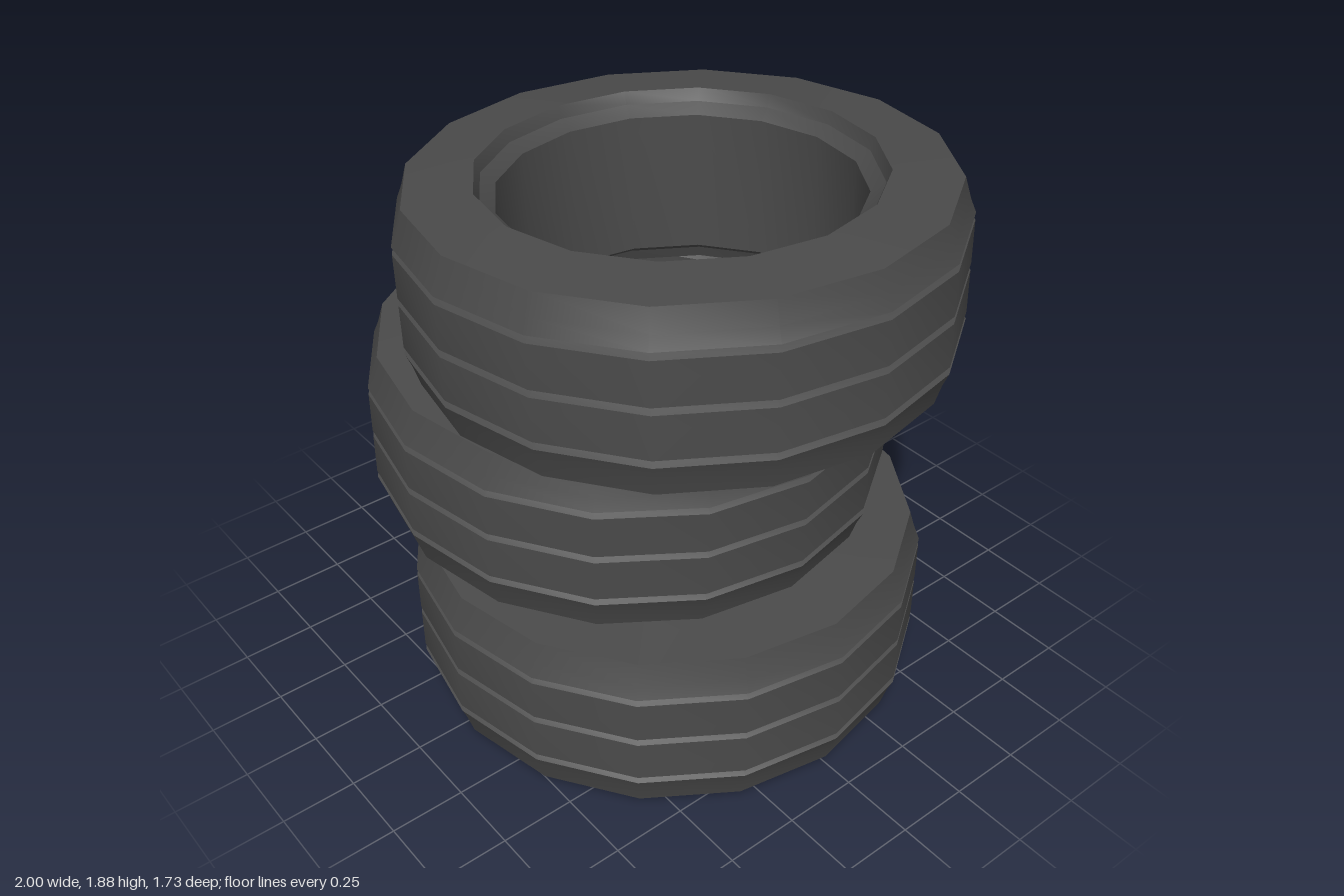
import * as THREE from 'three';
import { toCreasedNormals } from 'three/addons/utils/BufferGeometryUtils.js';

// Closed tyre cross-section revolved around y, centred on its own origin
function tyreGeometry() {
  const R = 0.863, depth = 0.025, half = 0.012;
  const outline = [[0.555, -0.235], [0.6, -0.265], [0.615, -0.305], [0.825, -0.288]];

  // tread with three narrow V grooves
  outline.push([0.845, -0.22]);
  for (const y of [-0.165, 0, 0.165]) {
    outline.push([R, y - half], [R - depth, y], [R, y + half]);
  }
  outline.push([0.845, 0.22]);

  // upper shoulder, sidewall, bead lip and straight inner wall
  outline.push([0.825, 0.288], [0.615, 0.305], [0.6, 0.265], [0.555, 0.235], [0.555, -0.235]);

  const points = outline.map(([r, y]) => new THREE.Vector2(r, y));
  return toCreasedNormals(new THREE.LatheGeometry(points, 16), 0.6);
}

export function createModel() {
  const group = new THREE.Group();
  group.name = 'tyreStack';
  const rubber = new THREE.MeshStandardMaterial({ color: 0x4a4a4a });
  const geometry = tyreGeometry();

  // name, x, y, tilt in degrees
  const tyres = [
    ['bottomTyre', 0.063, 0.313, 0.5],
    ['middleTyre', -0.135, 0.925, -1.1],
    ['topTyre', 0.13, 1.557, 2.1],
  ];
  for (const [name, x, y, tilt] of tyres) {
    const tyre = new THREE.Mesh(geometry, rubber);
    tyre.name = name;
    tyre.position.set(x, y, 0);
    tyre.rotation.z = THREE.MathUtils.degToRad(tilt);
    group.add(tyre);
  }
  return group;
}
